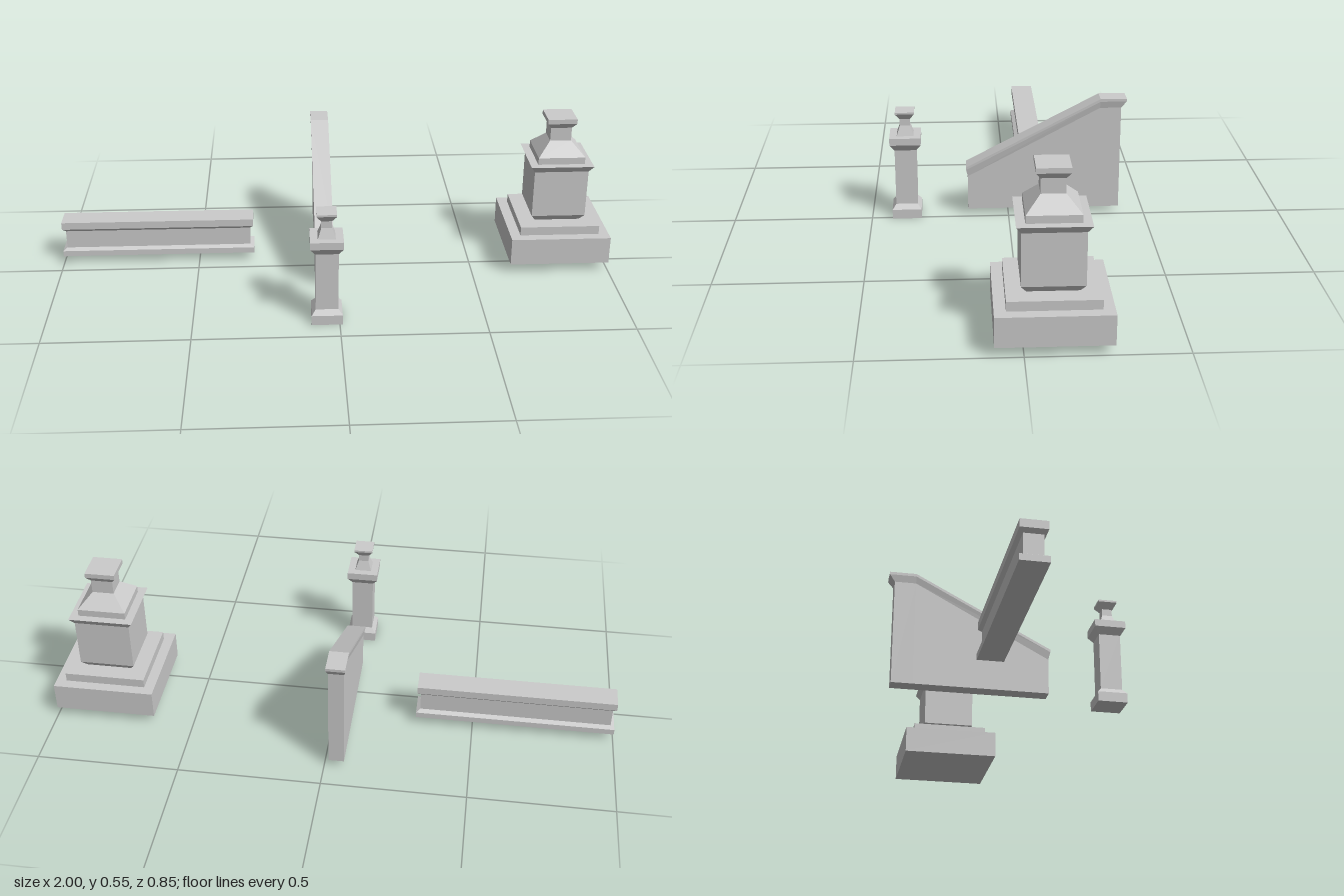
import * as THREE from 'three';

const material = new THREE.MeshStandardMaterial({ color: 0xcccccc, flatShading: true });

// Lofts stacked rings. Each ring is [half width in x, [[z, y], ...]] listed front to back,
// mirrored across x; the first and last rings are closed with flat strips.
function loft(name, rings, x, z) {
  const loops = rings.map(([hx, pts]) => [
    ...pts.map(([pz, py]) => [hx, py, pz]),
    ...pts.map(([pz, py]) => [-hx, py, pz]).reverse(),
  ]);
  const positions = [];
  const quad = (a, b, c, d) => positions.push(...a, ...b, ...c, ...a, ...c, ...d);
  const n = loops[0].length;
  for (let r = 0; r < loops.length - 1; r++) {
    for (let i = 0; i < n; i++) {
      const j = (i + 1) % n;
      quad(loops[r][i], loops[r][j], loops[r + 1][j], loops[r + 1][i]);
    }
  }
  const bottom = loops[0], top = loops[loops.length - 1];
  for (let i = 0; i < n / 2 - 1; i++) {
    quad(top[i], top[i + 1], top[n - 2 - i], top[n - 1 - i]);
    quad(bottom[i + 1], bottom[i], bottom[n - 1 - i], bottom[n - 2 - i]);
  }
  const geometry = new THREE.BufferGeometry();
  geometry.setAttribute('position', new THREE.Float32BufferAttribute(positions, 3));
  geometry.computeVertexNormals();
  const mesh = new THREE.Mesh(geometry, material);
  mesh.name = name;
  mesh.position.set(x, 0, z);
  return mesh;
}

// Rectangular moulding from [half x, half z, y] steps
const moulding = (name, steps, x, z) =>
  loft(name, steps.map(([hx, hz, y]) => [hx, [[hz, y], [-hz, y]]]), x, z);

// Square moulding from [half size, y] steps
const squareMoulding = (name, steps, x, z) =>
  moulding(name, steps.map(([h, y]) => [h, h, y]), x, z);

export function createModel() {
  const group = new THREE.Group();
  group.name = 'balustradeKit';

  // Long rail with a footing and a flared cap
  group.add(moulding('rail', [
    [0.352, 0.046, 0.03], [0.352, 0.046, 0.051], [0.338, 0.031, 0.059],
    [0.338, 0.031, 0.126], [0.35, 0.043, 0.138], [0.35, 0.043, 0.165],
  ], -0.648, -0.101));

  // Slender post
  const post = new THREE.Group();
  post.name = 'post';
  post.add(
    squareMoulding('postShaft', [
      [0.053, 0], [0.053, 0.035], [0.039, 0.053], [0.039, 0.263], [0.056, 0.288], [0.056, 0.314],
    ], -0.043, 0.372),
    squareMoulding('postFinial', [
      [0.03, 0.314], [0.018, 0.35], [0.018, 0.375], [0.034, 0.398], [0.034, 0.405],
    ], -0.043, 0.372),
  );
  group.add(post);

  // Sloping stair wall with a flared coping
  group.add(loft('stairWall', [
    [0.027, [[0.148, 0.024], [-0.33, 0.024], [-0.406, 0.024]]],
    [0.027, [[0.148, 0.153], [-0.33, 0.41], [-0.406, 0.41]]],
    [0.033, [[0.1545, 0.18], [-0.33, 0.435], [-0.4245, 0.435]]],
    [0.033, [[0.1545, 0.19], [-0.33, 0.445], [-0.4245, 0.445]]],
  ], -0.042, 0));

  // Large stepped pedestal
  const pedestal = new THREE.Group();
  pedestal.name = 'pedestal';
  const px = 0.82, pz = -0.0915;
  pedestal.add(
    squareMoulding('pedestalPlinth', [
      [0.18, 0.033], [0.18, 0.133], [0.1435, 0.133], [0.1435, 0.165],
    ], px, pz),
    squareMoulding('pedestalBody', [
      [0.081, 0.165], [0.0975, 0.188], [0.0975, 0.363], [0.113, 0.387],
    ], px, pz),
    squareMoulding('pedestalCap', [
      [0.0845, 0.387], [0.0845, 0.412], [0.038, 0.461], [0.038, 0.51], [0.0525, 0.53], [0.0525, 0.547],
    ], px, pz),
  );
  group.add(pedestal);

  return group;
}
